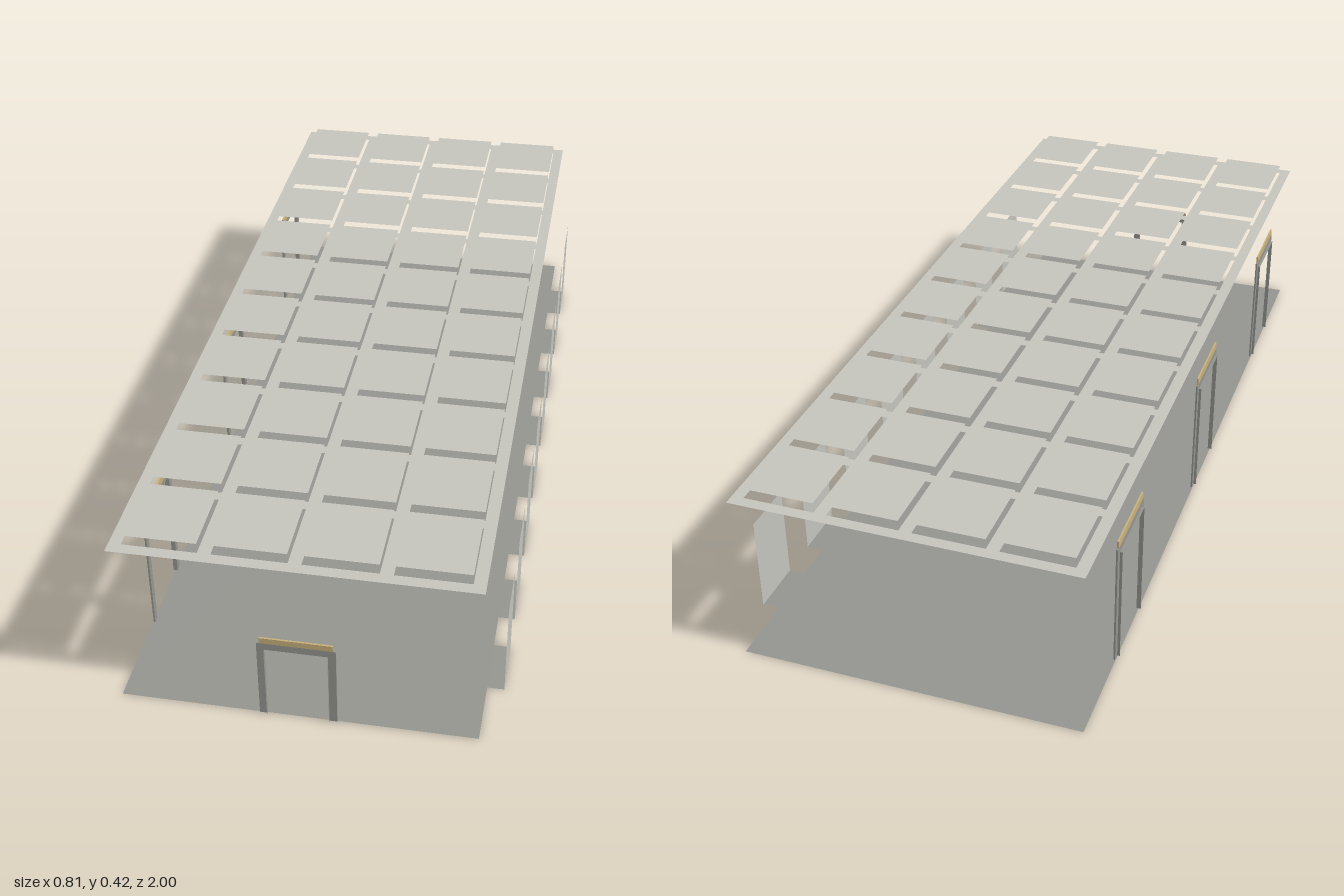
import * as THREE from 'three';

const material = (name, color) => {
  const m = new THREE.MeshStandardMaterial({ color, side: THREE.DoubleSide });
  m.name = name;
  return m;
};

export function createModel() {
  const pale = material('pale plaster', 0xc4c3bc);
  const grey = material('warm grey', 0x94958f);
  const tan = material('tan wood', 0xc8b07c);

  const model = new THREE.Group();
  model.name = 'hall';

  const add = (parent, name, geometry, mat, x, y, z) => {
    const mesh = new THREE.Mesh(geometry, mat);
    mesh.name = name;
    mesh.position.set(x, y, z);
    parent.add(mesh);
    return mesh;
  };
  const flat = (w, d) => new THREE.PlaneGeometry(w, d).rotateX(-Math.PI / 2);

  // Room extents
  const x0 = -0.4, x1 = 0.365, z0 = -1, z1 = 0.992;
  const width = x1 - x0, depth = z1 - z0, cx = (x0 + x1) / 2, cz = (z0 + z1) / 2;
  const ceilingY = 0.396, panelLift = 0.023;

  // Floor
  add(model, 'floor', flat(width, depth), grey, cx, 0, cz);

  // Ceiling grid with raised panels over its openings
  const panelW = 0.157, panelD = 0.172, pitchX = 0.185, pitchZ = 0.1965;
  const grid = new THREE.Shape();
  grid.moveTo(x0, -z1).lineTo(x1, -z1).lineTo(x1, -z0).lineTo(x0, -z0).closePath();
  const panelGeometry = flat(panelW, panelD);
  for (let row = 0; row < 10; row++) {
    for (let col = 0; col < 4; col++) {
      const x = cx + (col - 1.5) * pitchX, z = cz + (row - 4.5) * pitchZ;
      const l = x - panelW / 2, r = x + panelW / 2;
      const b = -z - panelD / 2, t = -z + panelD / 2;
      const hole = new THREE.Path();
      hole.moveTo(l, b).lineTo(l, t).lineTo(r, t).lineTo(r, b).closePath();
      grid.holes.push(hole);
      add(model, 'ceilingPanel', panelGeometry, pale, x, ceilingY + panelLift, z);
    }
  }
  add(model, 'ceilingGrid', new THREE.ShapeGeometry(grid).rotateX(-Math.PI / 2), pale, 0, ceilingY, 0);

  // Shallow bays along the +x side: floor strip and upright panel
  const bayW = 0.131, bayDepth = 0.037, bayH = 0.224;
  const sillGeometry = flat(bayDepth, bayW);
  const bayGeometry = new THREE.PlaneGeometry(bayW, bayH).rotateY(Math.PI / 2);
  for (let i = 0; i < 8; i++) {
    const z = (i - 3.5) * 0.223 - 0.003;
    add(model, 'bayFloor', sillGeometry, grey, x1 + bayDepth / 2, 0, z);
    add(model, 'bayPanel', bayGeometry, pale, x1 + bayDepth, bayH / 2, z);
  }

  // Door surround facing +z: flat trim, protruding jamb lining, wooden head strip
  function doorway(name, openW, openH, trim, strip) {
    const door = new THREE.Group();
    door.name = name;
    const outerW = openW + trim * 2;
    for (const s of [-1, 1]) {
      add(door, 'doorPost', new THREE.BoxGeometry(trim, openH, 0.004), grey,
        s * (openW + trim) / 2, openH / 2, -0.002);
      add(door, 'jambLining', new THREE.PlaneGeometry(0.008, openH).rotateY(Math.PI / 2), grey,
        s * openW / 2, openH / 2, 0.002);
    }
    add(door, 'doorLintel', new THREE.BoxGeometry(outerW, trim, 0.004), grey, 0, openH + trim / 2, -0.002);
    add(door, 'headLining', flat(openW, 0.008), grey, 0, openH, 0.002);
    add(door, 'headStrip', new THREE.BoxGeometry(outerW - 0.012, strip, 0.004), tan,
      0, openH + trim + strip / 2, -0.002);
    model.add(door);
    return door;
  }

  doorway('frontDoorway', 0.133, 0.181, 0.0165, 0.014).position.set(-0.0155, 0, 0.994);
  for (const z of [0.669, -0.004, -0.675]) {
    const side = doorway('sideDoorway', 0.165, 0.28, 0.0155, 0.0175);
    side.rotation.y = -Math.PI / 2;
    side.position.set(-0.399, 0, z);
  }

  return model;
}
